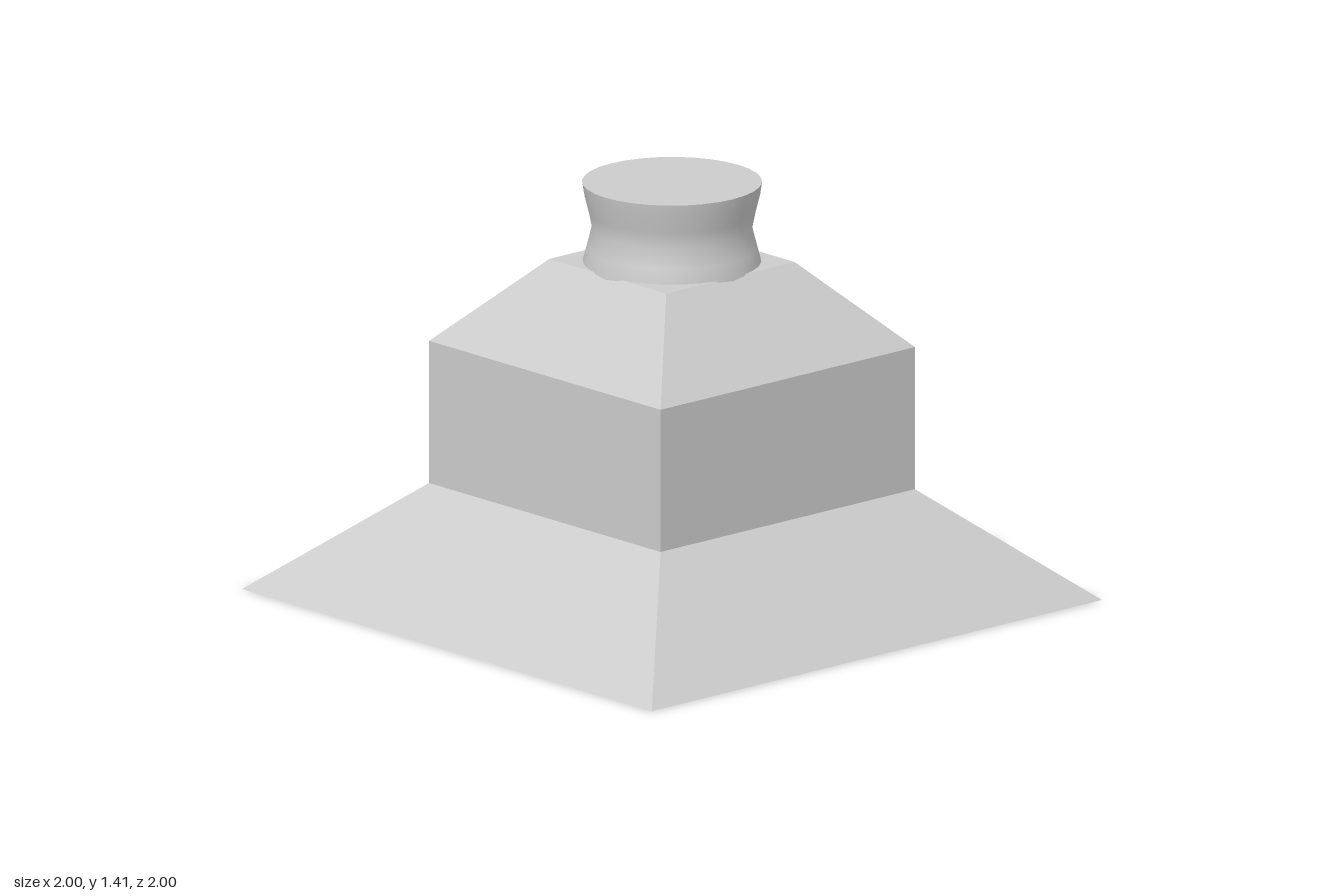
import * as THREE from 'three';

const flat = new THREE.MeshStandardMaterial({ color: 0xcccccc, flatShading: true });
const smooth = new THREE.MeshStandardMaterial({ color: 0xcccccc });

// Square tapered block, given half widths at its bottom and top
function squareBlock(name, bottom, top, y0, y1) {
  const geo = new THREE.CylinderGeometry(top * Math.SQRT2, bottom * Math.SQRT2, y1 - y0, 4);
  geo.rotateY(Math.PI / 4);
  geo.translate(0, (y0 + y1) / 2, 0);
  const mesh = new THREE.Mesh(geo, flat);
  mesh.name = name;
  return mesh;
}

export function createModel() {
  const model = new THREE.Group();
  model.name = 'steppedPedestal';

  // Stepped square body
  model.add(
    squareBlock('flaredBase', 1, 0.565, 0, 0.37),
    squareBlock('middleBlock', 0.565, 0.565, 0.37, 0.855),
    squareBlock('taperedShoulder', 0.565, 0.285, 0.855, 1.14)
  );

  // Waisted round neck, sunk slightly into the shoulder
  const neck = new THREE.Group();
  neck.name = 'neck';
  const profile = [
    [0.295, 1.1], [0.295, 1.135], [0.28, 1.19], [0.264, 1.255],
    [0.275, 1.31], [0.29, 1.37], [0.296, 1.41],
  ].map(([r, y]) => new THREE.Vector2(r, y));
  const wall = new THREE.Mesh(new THREE.LatheGeometry(profile, 32), smooth);
  wall.name = 'neckWall';

  // Flat lid closing the neck
  const lid = new THREE.Mesh(new THREE.CircleGeometry(0.296, 32).rotateX(-Math.PI / 2), flat);
  lid.position.y = 1.41;
  lid.name = 'neckTop';
  neck.add(wall, lid);
  model.add(neck);

  return model;
}
